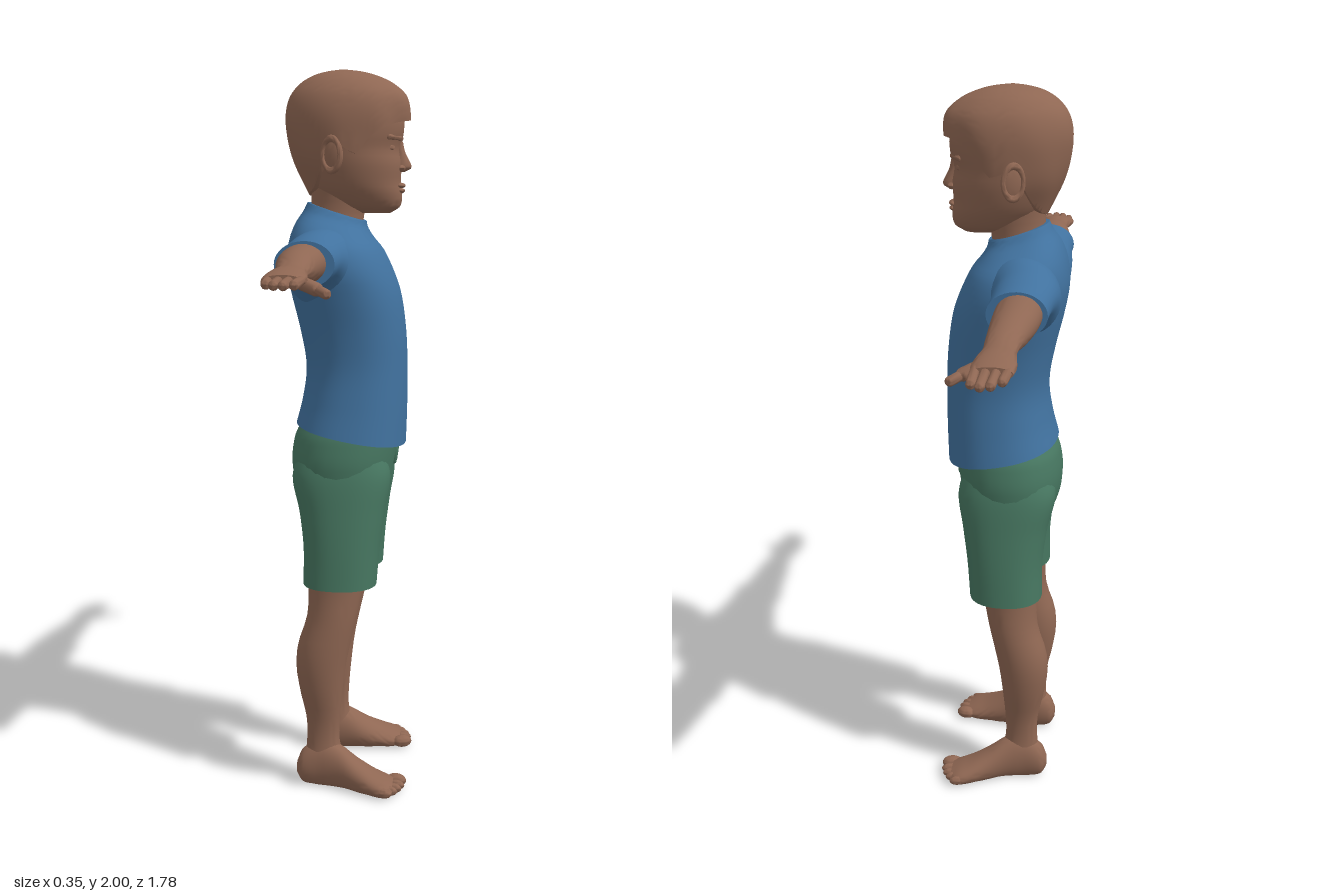
import * as THREE from 'three';
import { toCreasedNormals } from 'three/addons/utils/BufferGeometryUtils.js';

const V = (x, y, z) => new THREE.Vector3(x, y, z);

// Smooth interpolation of key rows by their first column
function at(keys, p) {
  let i = 0;
  while (i < keys.length - 2 && p > keys[i + 1][0]) i++;
  const a = keys[i], b = keys[i + 1], h = b[0] - a[0];
  const t = Math.min(1, Math.max(0, (p - a[0]) / h));
  const slope = (k, c) => {
    const l = keys[Math.max(0, k - 1)], r = keys[Math.min(keys.length - 1, k + 1)];
    return (r[c] - l[c]) / (r[0] - l[0]);
  };
  return a.map((_, c) => {
    const t2 = t * t, t3 = t2 * t;
    return (2 * t3 - 3 * t2 + 1) * a[c] + (t3 - 2 * t2 + t) * h * slope(i, c)
      + (3 * t2 - 2 * t3) * b[c] + (t3 - t2) * h * slope(i + 1, c);
  });
}

// Skin a list of rings, closing both ends with a fan
function skinRings(rings) {
  const n = rings[0].length, pos = [], index = [];
  rings.forEach(r => r.forEach(p => pos.push(p.x, p.y, p.z)));
  for (let i = 0; i < rings.length - 1; i++) for (let j = 0; j < n; j++) {
    const a = i * n + j, b = i * n + (j + 1) % n;
    index.push(a, b, b + n, a, b + n, a + n);
  }
  [0, rings.length - 1].forEach((r, end) => {
    const c = V(0, 0, 0);
    rings[r].forEach(p => c.addScaledVector(p, 1 / n));
    const ci = pos.length / 3;
    pos.push(c.x, c.y, c.z);
    for (let j = 0; j < n; j++) {
      const a = r * n + j, b = r * n + (j + 1) % n;
      index.push(...(end ? [ci, a, b] : [ci, b, a]));
    }
  });
  const g = new THREE.BufferGeometry();
  g.setAttribute('position', new THREE.Float32BufferAttribute(pos, 3));
  g.setIndex(index);
  return g;
}

// Loft along an axis; keys are [position, minA, maxA, minB, maxB], axes in cyclic order
function loft(axis, keys, { rows = 28, sides = 32, power = 1, bend } = {}) {
  const lo = keys[0][0], hi = keys[keys.length - 1][0], rings = [];
  const sp = v => Math.sign(v) * Math.abs(v) ** power;
  for (let i = 0; i <= rows; i++) {
    const p = lo + (hi - lo) * (1 - Math.cos(Math.PI * i / rows)) / 2;
    const [, a0, a1, b0, b1] = at(keys, p), ring = [];
    for (let j = 0; j < sides; j++) {
      const t = j / sides * Math.PI * 2;
      const a = (a0 + a1) / 2 + (a1 - a0) / 2 * sp(Math.cos(t));
      const b = (b0 + b1) / 2 + (b1 - b0) / 2 * sp(Math.sin(t));
      const v = axis === 'x' ? V(p, a, b) : axis === 'y' ? V(b, p, a) : V(a, b, p);
      if (bend) bend(v);
      ring.push(v);
    }
    rings.push(ring);
  }
  return skinRings(rings);
}
// Symmetric body sections: [y, back, front, half width]
const body = rows => rows.map(([y, b, f, w]) => [y, b, f, -w, w]);

const ball = (x, y, z, sx, sy, sz, ry = 0) =>
  new THREE.SphereGeometry(1, 18, 12).scale(sx, sy, sz).rotateY(ry).translate(x, y, z);

function capsule(a, b, r) {
  const d = b.clone().sub(a), g = new THREE.CapsuleGeometry(r, d.length(), 5, 12);
  g.applyQuaternion(new THREE.Quaternion().setFromUnitVectors(V(0, 1, 0), d.normalize()));
  const m = a.clone().add(b).multiplyScalar(0.5);
  return g.translate(m.x, m.y, m.z);
}

function mirror(geo) {
  const g = geo.clone().scale(-1, 1, 1), ix = g.index.array;
  for (let i = 0; i < ix.length; i += 3) [ix[i], ix[i + 1]] = [ix[i + 1], ix[i]];
  return g;
}

// Hair cap with a hairline that varies around the head
function hairGeometry() {
  const profile = [[1.64, -0.1, 0.14, 0.08], [1.7, -0.13, 0.145, 0.104], [1.76, -0.157, 0.15, 0.13],
    [1.82, -0.173, 0.158, 0.139], [1.88, -0.178, 0.165, 0.14], [1.93, -0.165, 0.155, 0.127],
    [1.965, -0.135, 0.115, 0.1], [1.985, -0.1, 0.07, 0.07], [1.995, -0.065, 0.03, 0.037], [2, -0.03, -0.01, 0.01]];
  const line = [[0, 1.868], [0.7, 1.862], [1.1, 1.83], [1.35, 1.78], [1.5, 1.785], [1.75, 1.8],
    [2.1, 1.73], [2.5, 1.685], [Math.PI, 1.665]];
  const rings = [], sides = 64;
  for (let i = -1; i <= 30; i++) {
    const u = Math.sin(Math.max(i, 0) / 30 * Math.PI / 2), ring = [];
    for (let j = 0; j < sides; j++) {
      const t = j / sides * Math.PI * 2, st = t > Math.PI ? t - 2 * Math.PI : t;
      const low = at(line, Math.abs(st))[1] + 0.018 * Math.sin(t) * Math.max(0, Math.cos(t));
      const y = low + (2 - low) * u, [, b, f, w] = at(profile, y);
      const front = Math.max(0, Math.cos(t));
      const wave = 1 + (0.008 + 0.014 * front) * Math.sin(8 * t + 22 * y) * (1 - u);
      const k = (i < 0 ? 0.86 : 1) * wave;
      ring.push(V(w * k * Math.sin(t), y, (b + f) / 2 + (f - b) / 2 * k * Math.cos(t)));
    }
    rings.push(ring);
  }
  return skinRings(rings);
}

export function createModel() {
  const model = new THREE.Group();
  model.name = 'standingChild';
  const material = (name, color) => Object.assign(new THREE.MeshStandardMaterial({ color }), { name });
  const skin = material('skinBrown', 0x8f6753);
  const blue = material('shirtBlue', 0x41729f);
  const green = material('shortsGreen', 0x477761);

  const add = (name, geo, mat) => {
    const mesh = new THREE.Mesh(toCreasedNormals(geo, 1), mat);
    mesh.name = name;
    model.add(mesh);
  };
  const pair = (name, geo, mat) => {
    add('left' + name, geo, mat);
    add('right' + name, mirror(geo), mat);
  };

  // Head and neck
  add('neck', loft('y', body([[1.54, -0.12, 0.04, 0.075], [1.6, -0.112, 0.036, 0.066],
    [1.65, -0.108, 0.045, 0.066], [1.72, -0.11, 0.05, 0.075]])), skin);
  add('head', loft('y', body([[1.618, 0.02, 0.11, 0.03], [1.635, -0.045, 0.136, 0.06], [1.67, -0.09, 0.142, 0.088],
    [1.7, -0.11, 0.138, 0.102], [1.75, -0.13, 0.14, 0.115], [1.79, -0.14, 0.134, 0.119],
    [1.83, -0.145, 0.145, 0.123], [1.88, -0.14, 0.142, 0.122], [1.95, -0.1, 0.09, 0.085]]), { rows: 36, sides: 40 }), skin);
  add('hair', hairGeometry(), skin);

  // Face
  add('nose', loft('y', body([[1.728, 0.12, 0.148, 0.012], [1.738, 0.11, 0.166, 0.018], [1.75, 0.11, 0.165, 0.015],
    [1.78, 0.11, 0.15, 0.011], [1.81, 0.11, 0.143, 0.012]]), { rows: 14, sides: 16 }), skin);
  add('upperLip', ball(0, 1.692, 0.135, 0.032, 0.008, 0.016), skin);
  add('lowerLip', ball(0, 1.678, 0.134, 0.027, 0.008, 0.016), skin);
  pair('Nostril', ball(0.017, 1.738, 0.14, 0.01, 0.009, 0.012), skin);
  pair('Eye', ball(0.048, 1.793, 0.11, 0.02, 0.011, 0.014, 0.35), skin);
  pair('Brow', capsule(V(0.025, 1.818, 0.135), V(0.075, 1.82, 0.11), 0.008), skin);
  pair('Ear', ball(0.132, 1.77, -0.035, 0.012, 0.048, 0.032, 0.45), skin);
  pair('EarRim', new THREE.TorusGeometry(0.03, 0.007, 8, 20).scale(0.9, 1.4, 1)
    .rotateY(Math.PI / 2 + 0.45).translate(0.14, 1.772, -0.038), skin);

  // Shirt, with the hem and the collar sloping down to the front
  add('shirt', loft('y', body([[1.01, -0.15, 0.157, 0.19], [1.1, -0.132, 0.16, 0.176], [1.2, -0.122, 0.16, 0.166],
    [1.3, -0.138, 0.155, 0.173], [1.4, -0.162, 0.14, 0.19], [1.47, -0.174, 0.115, 0.2], [1.53, -0.17, 0.085, 0.185],
    [1.57, -0.153, 0.062, 0.14], [1.6, -0.13, 0.048, 0.093], [1.622, -0.118, 0.044, 0.076]]), {
    rows: 40, sides: 48, power: 0.88, bend: v => {
      const hem = Math.max(0, 1 - (v.y - 1.01) / 0.15), collar = Math.max(0, 1 - (1.622 - v.y) / 0.1);
      v.y -= 0.19 * hem * v.z + 0.32 * collar * (v.z + 0.037);
    } }), blue);
  pair('Sleeve', loft('x', [[0.06, 1.38, 1.57, -0.15, 0.06], [0.14, 1.37, 1.578, -0.165, 0.035],
    [0.2, 1.415, 1.568, -0.165, 0.01], [0.27, 1.437, 1.558, -0.158, 0.003], [0.34, 1.438, 1.556, -0.154, 0],
    [0.393, 1.439, 1.556, -0.154, -0.001]]), blue);

  // Shorts
  add('shortsHips', loft('y', body([[0.785, -0.09, 0.07, 0.06], [0.84, -0.143, 0.108, 0.165], [0.92, -0.163, 0.125, 0.19],
    [1, -0.155, 0.135, 0.183], [1.04, -0.135, 0.135, 0.17]]), { power: 0.9 }), green);
  pair('ShortsLeg', loft('y', [[0.597, -0.12, 0.085, 0.022, 0.22], [0.7, -0.12, 0.093, 0.012, 0.213],
    [0.8, -0.132, 0.106, 0.005, 0.203], [0.9, -0.153, 0.12, -0.01, 0.19], [0.97, -0.13, 0.1, -0.01, 0.17]],
  { power: 0.88 }), green);
  pair('Drawstring', capsule(V(0.008, 0.98, 0.134), V(0.02, 0.925, 0.126), 0.006), green);

  // Arms and hands
  pair('Arm', loft('x', [[0.36, 1.447, 1.55, -0.142, -0.022], [0.46, 1.45, 1.546, -0.138, -0.024],
    [0.55, 1.455, 1.537, -0.126, -0.028], [0.62, 1.466, 1.522, -0.115, -0.031], [0.67, 1.469, 1.513, -0.112, -0.033],
    [0.72, 1.466, 1.512, -0.118, -0.026], [0.76, 1.465, 1.506, -0.123, -0.021], [0.8, 1.468, 1.498, -0.12, -0.024]]), skin);
  [['IndexFinger', -0.034, 0.865], ['MiddleFinger', -0.058, 0.881], ['RingFinger', -0.082, 0.873], ['LittleFinger', -0.106, 0.842]]
    .forEach(([name, z, tip]) => pair(name, capsule(V(0.785, 1.484, z), V(tip, 1.48, z * 0.9 - 0.006), 0.0115), skin));
  pair('ThumbBase', capsule(V(0.71, 1.478, -0.05), V(0.752, 1.463, -0.002), 0.016), skin);
  pair('ThumbTip', capsule(V(0.752, 1.463, -0.002), V(0.778, 1.455, 0.022), 0.012), skin);

  // Legs
  pair('Leg', loft('y', [[0.06, -0.12, 0, 0.095, 0.172], [0.13, -0.112, -0.018, 0.099, 0.164], [0.2, -0.113, -0.017, 0.095, 0.168],
    [0.28, -0.13, -0.01, 0.081, 0.186], [0.36, -0.141, 0, 0.071, 0.198], [0.42, -0.135, 0.012, 0.068, 0.2],
    [0.5, -0.11, 0.03, 0.066, 0.195], [0.58, -0.106, 0.045, 0.056, 0.19], [0.68, -0.105, 0.06, 0.045, 0.195]]), skin);

  // Feet, flat underneath and turned slightly out
  pair('Foot', loft('z', [[-0.14, 0.12, 0.148, 0.03, 0.065], [-0.125, 0.104, 0.165, 0.005, 0.1], [-0.07, 0.097, 0.174, -0.01, 0.135],
    [-0.02, 0.098, 0.186, -0.01, 0.122], [0.03, 0.102, 0.208, -0.01, 0.088], [0.08, 0.111, 0.23, -0.01, 0.06],
    [0.115, 0.118, 0.238, -0.008, 0.045], [0.138, 0.127, 0.225, 0, 0.034]],
  { bend: v => { v.y = Math.max(v.y, 0.003); } }), skin);
  [[0.137, 0.145, 0.02, 0.029], [0.168, 0.145, 0.012, 0.026], [0.19, 0.138, 0.0115, 0.026], [0.21, 0.128, 0.011, 0.025], [0.229, 0.114, 0.011, 0.024]]
    .forEach(([x, z, r, l], i) => pair('Toe' + (i + 1), ball(x, 0.019, z, r, i ? 0.014 : 0.018, l, 0.25), skin));

  // The figure looks along +x with its arms along z
  model.rotation.y = Math.PI / 2;
  const root = new THREE.Group();
  root.name = 'figure';
  root.add(model);
  return root;
}
